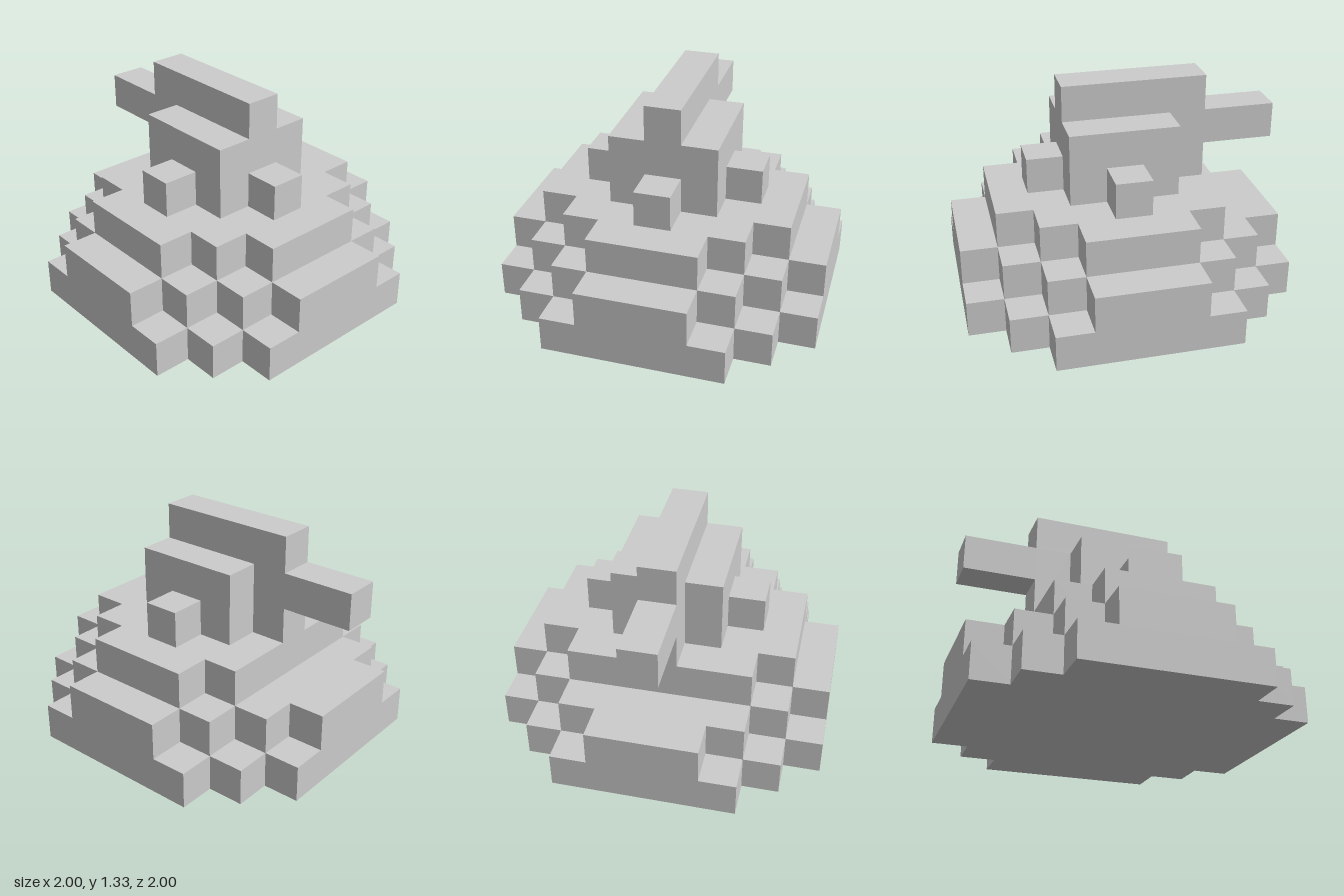
import * as THREE from 'three';

// One grid cell; all numbers below are in cells.
const U = 2 / 9;
const material = new THREE.MeshStandardMaterial({ color: 0xcccccc, flatShading: true });

function addMesh(group, name, geometry) {
  geometry.scale(U, U, U);
  const mesh = new THREE.Mesh(geometry, material);
  mesh.name = name;
  group.add(mesh);
}

// Box given by its minimum and maximum corners.
function addBox(group, name, min, max) {
  const size = max.map((v, i) => v - min[i]);
  const mid = max.map((v, i) => (v + min[i]) / 2);
  addMesh(group, name, new THREE.BoxGeometry(...size).translate(...mid));
}

// Stepped slab, one cell high, from the half widths of its rows, back to front.
function addSlab(group, name, y, backZ, halfWidths) {
  const side = [];
  halfWidths.forEach((w, i) => {
    if (w !== halfWidths[i - 1]) side.push([w, backZ + i]);
    if (w !== halfWidths[i + 1]) side.push([w, backZ + i + 1]);
  });
  const mirrored = side.map(([x, z]) => [-x, z]).reverse();
  const points = [...side, ...mirrored].map(([x, z]) => new THREE.Vector2(x, -z));
  const geometry = new THREE.ExtrudeGeometry(new THREE.Shape(points), { depth: 1, bevelEnabled: false });
  addMesh(group, name, geometry.rotateX(-Math.PI / 2).translate(0, y, 0));
}

export function createModel() {
  const model = new THREE.Group();
  model.name = 'steppedBlockModel';

  // Three stacked slabs, narrowing upwards
  addSlab(model, 'baseSlab', 0, -4.5, [2.5, 3.5, 4.5, 4.5, 4.5, 4.5, 4.5, 3.5, 2.5]);
  addSlab(model, 'middleSlab', 1, -4.5, [1.5, 2.5, 3.5, 4.5, 4.5, 4.5, 3.5, 2.5, 1.5]);
  addSlab(model, 'upperSlab', 2, -2.5, [2.5, 3.5, 3.5, 3.5, 2.5, 1.5]);

  // Central tower with its back spine and top ridge
  addBox(model, 'tower', [-1.5, 3, -1.5], [1.5, 5, 1.5]);
  addBox(model, 'backSpine', [-0.5, 3, -2.5], [0.5, 5, -1.5]);
  addBox(model, 'topRidge', [-0.5, 5, -2.5], [0.5, 6, 1.5]);

  // Bar reaching out behind the spine
  addBox(model, 'rearBar', [-0.5, 4, -4.5], [0.5, 5, -2.5]);

  // Single cubes on the front and both sides of the tower
  addBox(model, 'frontCube', [-0.5, 3, 1.5], [0.5, 4, 2.5]);
  addBox(model, 'leftCube', [1.5, 3, -0.5], [2.5, 4, 0.5]);
  addBox(model, 'rightCube', [-2.5, 3, -0.5], [-1.5, 4, 0.5]);

  return model;
}
